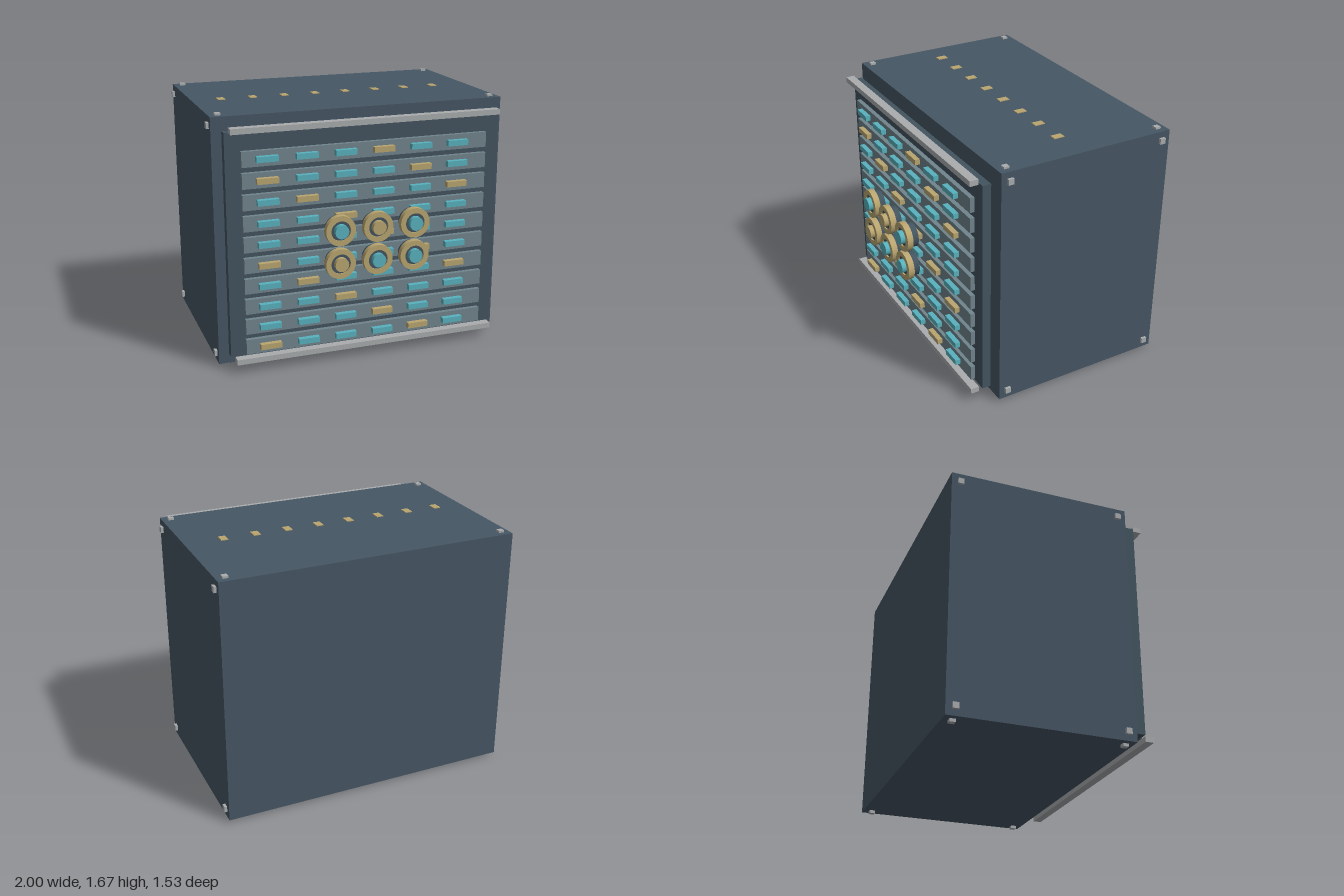
import * as THREE from 'three';

const mat = (name, color) => {
  const m = new THREE.MeshStandardMaterial({ color });
  m.name = name;
  return m;
};

export function createModel() {
  const root = new THREE.Group();
  root.name = 'cabinet';
  const slate = mat('slate', 0x465664);
  const darkSlate = mat('dark slate', 0x435460);
  const greyBlue = mat('grey blue', 0x70848c);
  const teal = mat('teal', 0x58b2be);
  const gold = mat('gold', 0xb9a570);
  const silver = mat('silver', 0xa9acae);

  const add = (name, geo, material, x, y, z, parent = root) => {
    const m = new THREE.Mesh(geo, material);
    m.name = name;
    m.position.set(x, y, z);
    parent.add(m);
    return m;
  };
  const box = (w, h, d) => new THREE.BoxGeometry(w, h, d);

  // Main case and the front panel floating ahead of it
  add('case', box(1.965, 1.635, 1.2), slate, 0, 0.8375, -0.165);
  add('frontPanel', box(1.845, 1.47, 0.057), darkSlate, 0, 0.837, 0.4955);

  // Ten shelf strips, each with six small indicator bars
  const barGeo = box(0.14, 0.037, 0.035);
  const stripGeo = box(1.65, 0.1, 0.03);
  for (let r = 0; r < 10; r++) {
    const y = 1.404 - r * 0.1376;
    add('shelfStrip', stripGeo, greyBlue, 0, y, 0.539);
    for (let c = 0; c < 6; c++) {
      const isGold = (c - r + 12) % 4 === 3;
      add('indicatorBar', barGeo, isGold ? gold : teal, -0.668 + c * 0.2555, y, 0.571);
    }
  }

  // Rails along the top and bottom of the front
  for (const y of [1.59, 0.086]) add('rail', box(1.795, 0.036, 0.057), silver, 0, y, 0.565);

  // Six dials: dark base, gold rim and coloured hub
  const rimShape = new THREE.Shape().absarc(0, 0, 0.098, 0, Math.PI * 2);
  rimShape.holes.push(new THREE.Path().absarc(0, 0, 0.064, 0, Math.PI * 2, true));
  const rimGeo = new THREE.ExtrudeGeometry(rimShape, { depth: 0.04, bevelEnabled: false, curveSegments: 32 });
  const baseGeo = new THREE.CylinderGeometry(0.081, 0.081, 0.075, 32).rotateX(Math.PI / 2);
  const hubGeo = new THREE.CylinderGeometry(0.045, 0.045, 0.045, 24).rotateX(Math.PI / 2);
  const hubColours = [[teal, gold, teal], [gold, teal, teal]];
  hubColours.forEach((row, j) => row.forEach((hub, i) => {
    const dial = new THREE.Group();
    dial.name = 'dial';
    dial.position.set((i - 1) * 0.25, j ? 0.729 : 0.946, 0);
    add('dialBase', baseGeo, darkSlate, 0, 0, 0.6945, dial);
    add('dialRim', rimGeo, gold, 0, 0, 0.702, dial);
    add('dialHub', hubGeo, hub, 0, 0, 0.7425, dial);
    root.add(dial);
  }));

  // Row of gold tabs on the lid
  for (let i = 0; i < 8; i++) add('lidTab', box(0.048, 0.012, 0.07), gold, -0.79 + i * 0.2168, 1.654, -0.107);

  // Corner studs on the lid, the underside and both flanks
  for (const x of [-1, 1]) for (const z of [0.377, -0.707]) {
    add('topStud', box(0.037, 0.03, 0.037), silver, x * 0.925, 1.653, z);
    add('footStud', box(0.037, 0.03, 0.037), silver, x * 0.925, 0.015, z);
    for (const y of [1.595, 0.08]) add('sideStud', box(0.03, 0.038, 0.038), silver, x * 0.985, y, z);
  }
  return root;
}
